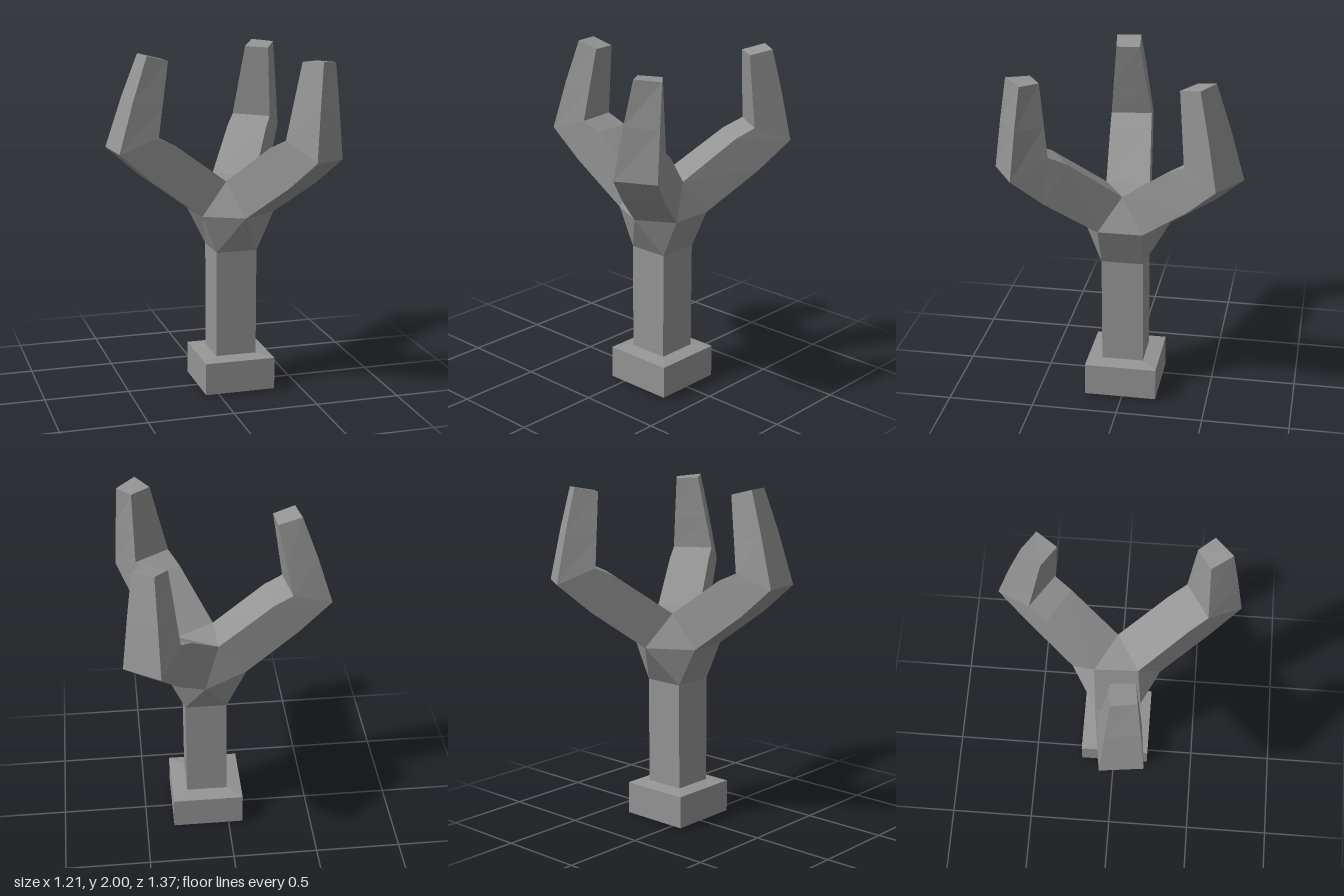
import * as THREE from 'three';

const material = new THREE.MeshStandardMaterial({ color: 0x949494, flatShading: true });

// Mesh from convex polygons, each a counter-clockwise list of [x, y, z] corners
function facetMesh(name, faces) {
  const pos = [];
  for (const f of faces)
    for (let i = 1; i < f.length - 1; i++) pos.push(...f[0], ...f[i], ...f[i + 1]);
  const geo = new THREE.BufferGeometry();
  geo.setAttribute('position', new THREE.Float32BufferAttribute(pos, 3));
  geo.computeVertexNormals();
  const mesh = new THREE.Mesh(geo, material);
  mesh.name = name;
  return mesh;
}

// Side faces joining successive cross-sections
function loft(rings) {
  const faces = [];
  for (let r = 0; r < rings.length - 1; r++) {
    const a = rings[r], b = rings[r + 1], n = a.length;
    for (let i = 0; i < n; i++) {
      const j = (i + 1) % n;
      faces.push([a[i], a[j], b[j], b[i]]);
    }
  }
  return faces;
}

// Square section around the post axis
const square = (half, y) =>
  [[1, 1], [1, -1], [-1, -1], [-1, 1]].map(([sx, sz]) => [0.125 + sx * half, y, 0.006 + sz * half]);

// Section part-way between two others, with inner and outer edges eased separately
function between(a, b, tIn, tOut, liftIn, liftOut) {
  return a.map((p, i) => {
    const t = i < 2 ? tIn : tOut;
    const q = p.map((v, k) => v + (b[i][k] - v) * t);
    q[1] += i < 2 ? liftIn : liftOut;
    return q;
  });
}

export function createModel() {
  const group = new THREE.Group();

  // Foot block with slightly domed top and bottom
  const foot = [square(0.122, 0), square(0.21, 0.012), square(0.21, 0.203), square(0.122, 0.215)];
  group.add(facetMesh('foot', [...loft(foot), [...foot[0]].reverse(), foot[3]]));

  // Square post
  const neck = square(0.121, 0.845);
  group.add(facetMesh('post', loft([square(0.121, 0.21), neck])));

  // Hub: six shoulder points and three crown points shared with the fingers
  const [a, b, c, d] = neck;
  const sR1 = [0.345, 1.07, 0.13], sR2 = [0.345, 1.07, -0.125], sB = [0.14, 1.07, -0.255];
  const sL2 = [-0.11, 1.07, -0.105], sL1 = [-0.085, 1.07, 0.145], sF = [0.14, 1.07, 0.255];
  const cR = [0.275, 1.265, 0], cB = [0.05, 1.265, -0.12], cF = [0.06, 1.265, 0.13];
  group.add(facetMesh('hub', [
    [a, b, sR2, sR1], [b, sB, sR2], [b, c, sB], [c, sL2, sB],
    [c, d, sL1, sL2], [d, sF, sL1], [d, a, sF], [a, sR1, sF],
    [sR1, sR2, cR], [sB, sL2, cB], [sL1, sF, cF], [cR, cB, cF],
  ]));

  // Fingers: root, elbow and tip sections, corners as two inner then two outer
  const fingers = {
    rightFinger: [
      [cF, cB, sL2, sL1],
      [[-0.345, 1.54, 0.172], [-0.376, 1.54, -0.064], [-0.605, 1.47, -0.04], [-0.575, 1.465, 0.2]],
      [[-0.278, 1.965, 0.13], [-0.29, 1.965, -0.005], [-0.425, 2, 0.008], [-0.402, 2, 0.147]],
    ],
    leftFrontFinger: [
      [cR, cF, sF, sR1],
      [[0.485, 1.555, 0.37], [0.288, 1.555, 0.498], [0.405, 1.455, 0.685], [0.6, 1.445, 0.555]],
      [[0.493, 1.975, 0.405], [0.384, 1.98, 0.48], [0.464, 1.99, 0.595], [0.572, 1.975, 0.495]],
    ],
    leftBackFinger: [
      [cB, cR, sR2, sB],
      [[0.288, 1.55, -0.498], [0.485, 1.545, -0.37], [0.6, 1.46, -0.555], [0.405, 1.465, -0.687]],
      [[0.34, 1.97, -0.418], [0.46, 1.965, -0.34], [0.53, 1.99, -0.455], [0.416, 2, -0.527]],
    ],
  };
  for (const [name, [root, elbow, tip]] of Object.entries(fingers)) {
    const arm = between(root, elbow, 0.74, 0.62, 0.02, -0.018);
    const claw = between(elbow, tip, 0.42, 0.5, 0, 0.02);
    group.add(facetMesh(name, [...loft([root, arm, elbow, claw, tip]), tip]));
  }
  return group;
}
